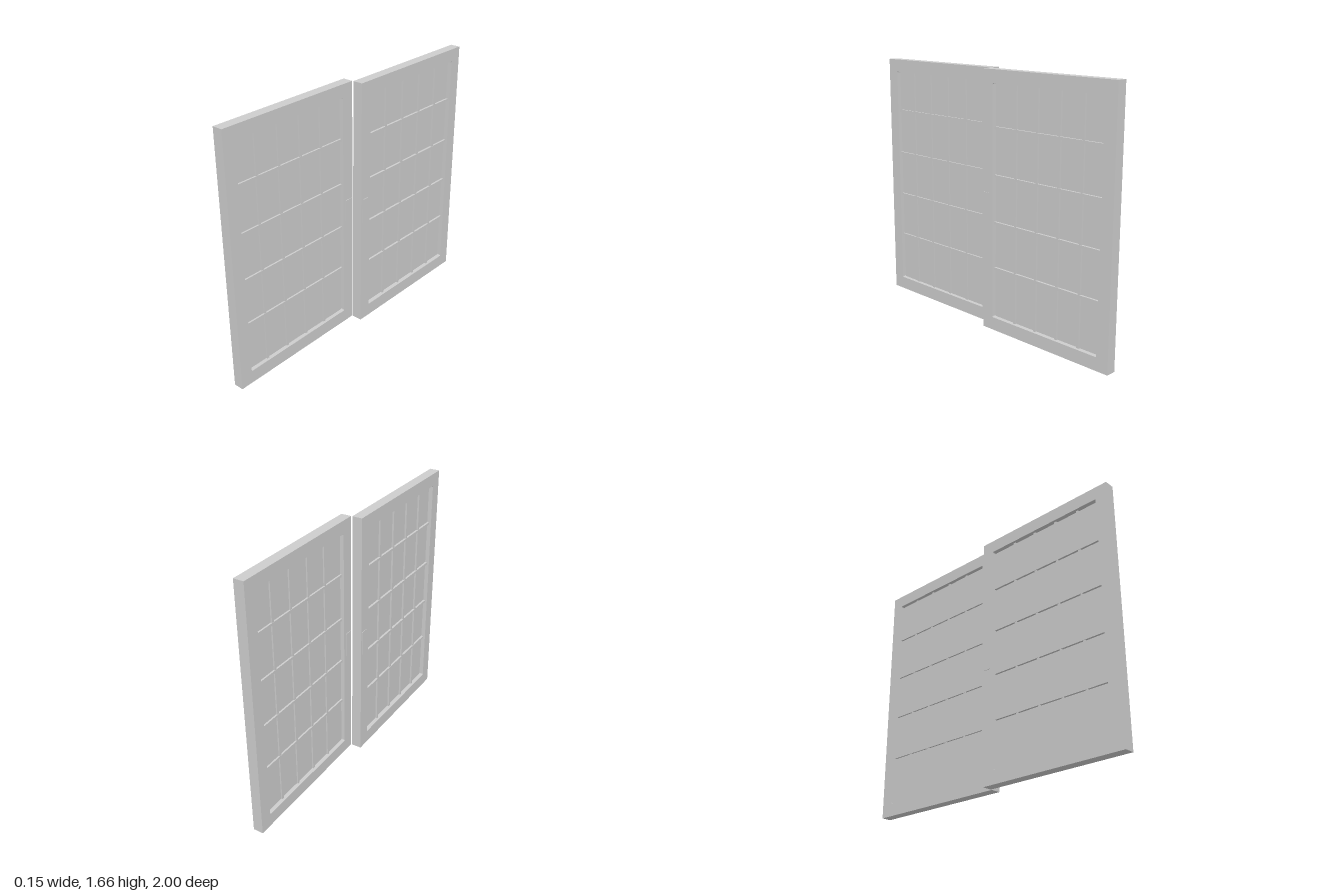
import * as THREE from 'three';

const H = 1.66;              // panel height
const X0 = 0.004, X1 = 0.07; // inner and outer face of a panel
const OPEN = { z0: 0.083, z1: 0.918, y0: 0.085, y1: 1.577, r: 0.007 };

const paint = new THREE.MeshStandardMaterial({ color: 0xcccccc });
paint.name = 'light grey';

// Box between two corners; d is the distance from the meeting edge (towards -z)
function slab(name, x0, x1, y0, y1, d0, d1) {
  const mesh = new THREE.Mesh(new THREE.BoxGeometry(x1 - x0, y1 - y0, d1 - d0), paint);
  mesh.position.set((x0 + x1) / 2, (y0 + y1) / 2, -(d0 + d1) / 2);
  mesh.name = name;
  return mesh;
}

// Outer frame with a slightly rounded opening
function frame() {
  const s = new THREE.Shape();
  s.moveTo(0, 0).lineTo(1, 0).lineTo(1, H).lineTo(0, H).closePath();
  const { z0, z1, y0, y1, r } = OPEN;
  const hole = new THREE.Path();
  hole.moveTo(z0 + r, y0);
  hole.lineTo(z1 - r, y0).quadraticCurveTo(z1, y0, z1, y0 + r);
  hole.lineTo(z1, y1 - r).quadraticCurveTo(z1, y1, z1 - r, y1);
  hole.lineTo(z0 + r, y1).quadraticCurveTo(z0, y1, z0, y1 - r);
  hole.lineTo(z0, y0 + r).quadraticCurveTo(z0, y0, z0 + r, y0);
  s.holes.push(hole);
  const geo = new THREE.ExtrudeGeometry(s, { depth: X1 - X0, bevelEnabled: false, curveSegments: 3 });
  geo.rotateY(Math.PI / 2).translate(X0, 0, 0);
  const mesh = new THREE.Mesh(geo, paint);
  mesh.name = 'frame';
  return mesh;
}

function slidingPanel(name) {
  const panel = new THREE.Group();
  panel.name = name;
  const { z0, z1, y0, y1 } = OPEN;
  panel.add(frame());
  panel.add(slab('pane', 0.03, 0.041, y0 - 0.005, y1 + 0.005, z0 - 0.005, z1 + 0.005));

  // Glazing bars stand out on both sides of the pane
  for (let i = 0; i < 4; i++) {
    const d = 0.257 + i * 0.1695;
    panel.add(slab('verticalBar', 0.021, 0.053, y0, y1, d - 0.008, d + 0.008));
    const y = 0.409 + i * 0.2993;
    panel.add(slab('horizontalBar', 0.019, 0.055, y - 0.008, y + 0.008, z0, z1));
  }

  // Thin pull plates on both faces beside the meeting edge
  panel.add(slab('outerPull', X1 - 0.002, X1 + 0.003, 0.74, 0.9, 0.01, 0.063));
  panel.add(slab('innerPull', X0 - 0.003, X0 + 0.002, 0.74, 0.9, 0.01, 0.063));
  return panel;
}

export function createModel() {
  const model = new THREE.Group();
  model.name = 'slidingDoors';
  const back = slidingPanel('backPanel');
  const front = slidingPanel('frontPanel');
  front.rotation.y = Math.PI; // same panel turned half round
  model.add(back, front);
  return model;
}
